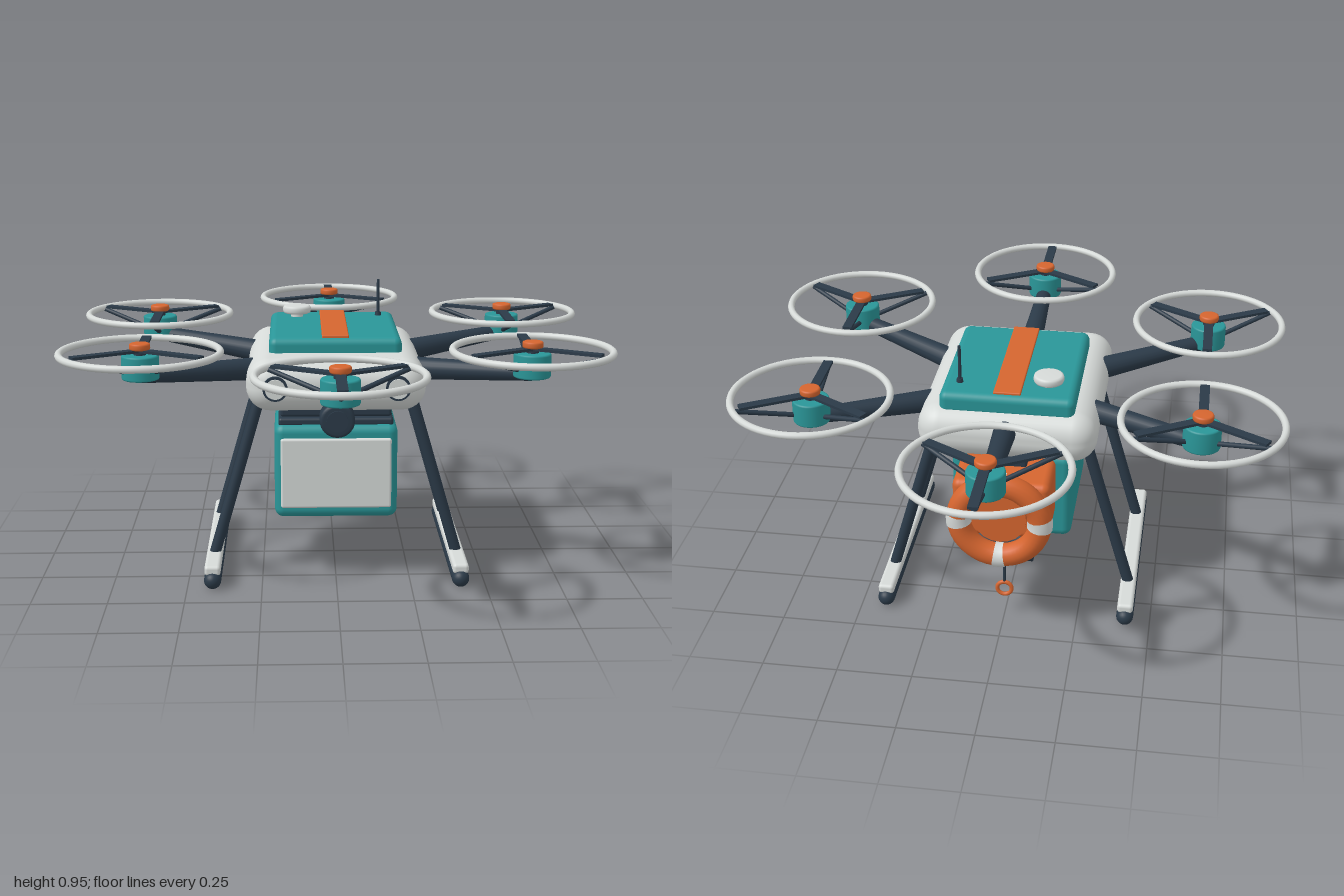
import * as THREE from 'three';
import { RoundedBoxGeometry } from 'three/addons/geometries/RoundedBoxGeometry.js';

const material = (name, color) => {
  const m = new THREE.MeshStandardMaterial({ color });
  m.name = name;
  return m;
};

export function createModel() {
  const teal = material('teal', 0x2a9698);
  const light = material('light grey', 0xd6dad8);
  const dark = material('dark slate', 0x2b3a48);
  const orange = material('orange', 0xd5652f);

  const model = new THREE.Group();
  model.name = 'deliveryDrone';

  const add = (name, geo, mat, x = 0, y = 0, z = 0, parent = model) => {
    const mesh = new THREE.Mesh(geo, mat);
    mesh.name = name;
    mesh.position.set(x, y, z);
    parent.add(mesh);
    return mesh;
  };
  // Rounded box given by its min / max corners
  const block = (name, mat, [x0, y0, z0], [x1, y1, z1], r) =>
    add(name, new RoundedBoxGeometry(x1 - x0, y1 - y0, z1 - z0, 4, r), mat,
      (x0 + x1) / 2, (y0 + y1) / 2, (z0 + z1) / 2);
  // Round bar between two points
  const bar = (name, mat, a, b, ra, rb = ra, parent = model) => {
    const p = new THREE.Vector3(...a), q = new THREE.Vector3(...b);
    const dir = q.clone().sub(p);
    const mesh = add(name, new THREE.CylinderGeometry(rb, ra, dir.length(), 20), mat, 0, 0, 0, parent);
    mesh.position.copy(p).add(q).multiplyScalar(0.5);
    mesh.quaternion.setFromUnitVectors(new THREE.Vector3(0, 1, 0), dir.normalize());
    return mesh;
  };
  // Upright disc with softened rims
  const softDisc = (r, h, b) => new THREE.LatheGeometry([
    [0, -h / 2], [r - b, -h / 2], [r - b * 0.3, -h / 2 + b * 0.3], [r, -h / 2 + b],
    [r, h / 2 - b], [r - b * 0.3, h / 2 - b * 0.3], [r - b, h / 2], [0, h / 2],
  ].map(([x, y]) => new THREE.Vector2(x, y)), 32);

  // Fuselage, lid and stripe
  block('body', light, [-0.297, 0.592, -0.36], [0.297, 0.768, 0.36], 0.08);
  block('lid', teal, [-0.222, 0.74, -0.315], [0.222, 0.818, 0.212], 0.025);
  block('lidStripe', orange, [-0.045, 0.812, -0.295], [0.045, 0.825, 0.198], 0.004);

  // Navigation puck and antenna
  add('puckStem', new THREE.CylinderGeometry(0.022, 0.022, 0.03, 20), light, -0.127, 0.82, -0.21);
  add('navigationPuck', softDisc(0.05, 0.028, 0.009), light, -0.127, 0.844, -0.21);
  bar('antenna', dark, [0.165, 0.81, -0.225], [0.165, 0.948, -0.225], 0.006, 0.005);
  add('antennaBase', new THREE.CylinderGeometry(0.01, 0.012, 0.015, 12), dark, 0.165, 0.823, -0.225);

  // Headlamps
  for (const s of [1, -1]) {
    bar('lampRim', dark, [s * 0.2, 0.68, 0.33], [s * 0.2, 0.68, 0.368], 0.041);
    bar('lampLens', light, [s * 0.2, 0.68, 0.34], [s * 0.2, 0.68, 0.374], 0.033);
  }

  // Camera under the nose
  add('cameraHousing', softDisc(0.057, 0.085, 0.012), dark, 0, 0.59, 0.397).rotation.x = Math.PI / 2;
  bar('cameraLens', dark, [0, 0.59, 0.43], [0, 0.59, 0.446], 0.035);
  block('cameraBracket', dark, [-0.025, 0.575, 0.29], [0.025, 0.655, 0.38], 0.01);

  // Cargo box and its mounting plates
  block('upperMountPlate', dark, [-0.185, 0.562, -0.18], [0.185, 0.6, 0.265], 0.01);
  block('lowerMountPlate', dark, [-0.192, 0.53, -0.185], [0.192, 0.558, 0.265], 0.01);
  add('mountCore', new THREE.BoxGeometry(0.32, 0.06, 0.38), dark, 0, 0.56, 0.04);
  block('cargoBox', teal, [-0.206, 0.215, -0.195], [0.206, 0.538, 0.283], 0.03);
  block('cargoDoor', light, [-0.185, 0.253, 0.275], [0.185, 0.493, 0.293], 0.008);

  // Six arms with motors, rotors and guard rings
  for (let k = 0; k < 6; k++) {
    const a = k * Math.PI / 3, sx = Math.sin(a), cz = Math.cos(a);
    bar('arm', dark, [sx * 0.2, 0.697, cz * 0.2], [sx * 0.73, 0.73, cz * 0.73], 0.042, 0.026);

    const rotor = new THREE.Group();
    rotor.name = 'rotorUnit';
    rotor.position.set(sx * 0.73, 0, cz * 0.73);
    rotor.rotation.y = k % 2 ? Math.PI : 0;
    model.add(rotor);
    add('motor', softDisc(0.061, 0.08, 0.006), teal, 0, 0.757, 0, rotor);
    add('motorShaft', new THREE.CylinderGeometry(0.02, 0.02, 0.03, 16), dark, 0, 0.803, 0, rotor);
    add('rotorCap', softDisc(0.034, 0.022, 0.006), orange, 0, 0.824, 0, rotor);
    add('guardRing', new THREE.TorusGeometry(0.258, 0.012, 10, 64), light, 0, 0.803, 0, rotor)
      .rotation.x = Math.PI / 2;
    for (let j = 0; j < 3; j++) {
      const b = j * 2 * Math.PI / 3, bx = Math.sin(b), bz = Math.cos(b);
      add('blade', new THREE.BoxGeometry(0.032, 0.009, 0.225), dark, bx * 0.122, 0.81, bz * 0.122, rotor)
        .rotation.y = b;
      bar('guardStrut', dark, [bx * 0.05, 0.745, bz * 0.05], [bx * 0.255, 0.8, bz * 0.255], 0.008, 0.008, rotor);
    }
  }

  // Landing gear
  for (const s of [1, -1]) {
    for (const z of [0.213, -0.22])
      bar('leg', dark, [s * 0.42, 0.05, z], [s * 0.25, 0.635, z], 0.019);
    const skid = add('skid', new THREE.CapsuleGeometry(0.029, 0.74, 8, 20), dark, s * 0.415, 0.029, 0);
    skid.rotation.x = Math.PI / 2;
    block('skidPad', light, [s * 0.415 - 0.027, 0.045, -0.38], [s * 0.415 + 0.027, 0.08, 0.38], 0.012);
  }

  // Rear rescue pack with life ring
  block('packMount', dark, [-0.07, 0.55, -0.33], [0.07, 0.61, -0.26], 0.008);
  block('rescuePack', orange, [-0.16, 0.365, -0.447], [0.16, 0.572, -0.25], 0.025);
  bar('ringHub', orange, [0, 0.452, -0.42], [0, 0.452, -0.47], 0.088);
  const ring = new THREE.Group();
  ring.name = 'lifeRing';
  ring.position.set(0, 0.452, -0.475);
  model.add(ring);
  add('ringTube', new THREE.TorusGeometry(0.134, 0.039, 16, 48), orange, 0, 0, 0, ring);
  for (let k = 0; k < 4; k++)
    add('ringBand', new THREE.TorusGeometry(0.134, 0.042, 16, 4, 0.28), light, 0, 0, 0, ring)
      .rotation.z = k * Math.PI / 2 - 0.14;

  // Winch, cable and hook ring
  bar('winchDrum', dark, [-0.1, 0.305, -0.355], [0.1, 0.305, -0.355], 0.073);
  bar('winchCable', dark, [0, 0.13, -0.368], [0, 0.3, -0.368], 0.005);
  add('hookRing', new THREE.TorusGeometry(0.025, 0.007, 10, 28), orange, 0, 0.106, -0.368);

  return model;
}
